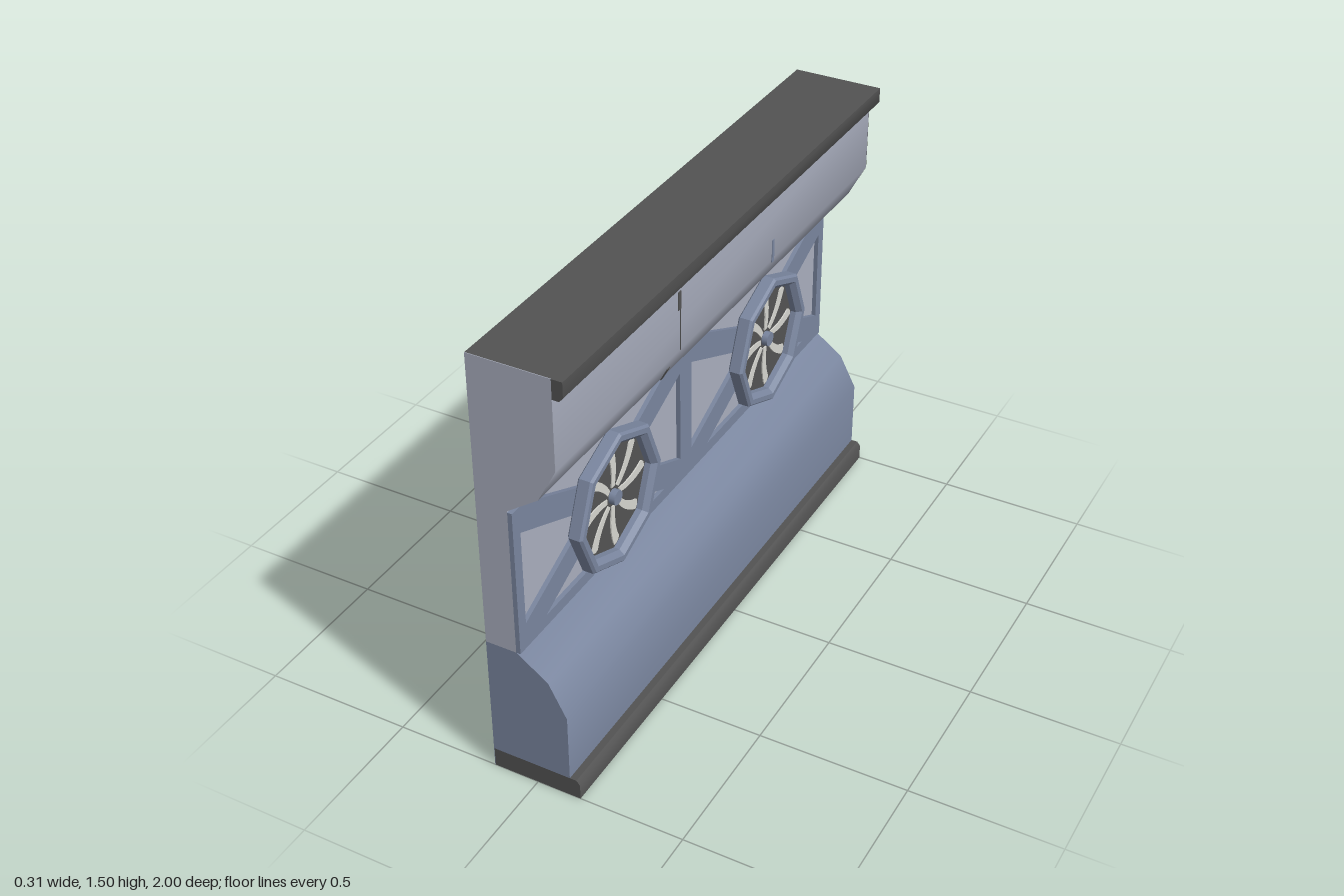
import * as THREE from 'three';
import { toCreasedNormals } from 'three/addons/utils/BufferGeometryUtils.js';

const mat = (name, color) => Object.assign(new THREE.MeshStandardMaterial({ color }), { name });

export function createModel() {
  const light = mat('pale grey panel', 0xa9aebe);
  const blue = mat('blue grey metal', 0x7a869f);
  const dark = mat('dark trim', 0x535353);
  const white = mat('blade white', 0xd6d6d0);

  const wall = new THREE.Group();
  wall.name = 'wallSegment';

  const add = (parent, name, geometry, material, x = 0, y = 0, z = 0) => {
    const mesh = new THREE.Mesh(geometry, material);
    mesh.name = name;
    mesh.position.set(x, y, z);
    parent.add(mesh);
    return mesh;
  };
  const path = (pts) => pts.map(([x, y]) => new THREE.Vector2(x, y));
  const extrude = (pts, depth, holes = []) => {
    const shape = new THREE.Shape(path(pts));
    shape.holes = holes.map((h) => new THREE.Path(path(h)));
    return new THREE.ExtrudeGeometry(shape, { depth, bevelEnabled: false });
  };
  // Cross-section run along z, soft over the curved face only
  const run = (name, pts, material, z0 = -1, z1 = 1) =>
    add(wall, name, toCreasedNormals(extrude(pts, z1 - z0), 0.7), material, 0, 0, z0);

  const back = -0.155, E = 0.002;

  // Upper body with the recessed core behind the fans
  const upperCurve = [[-0.05, 0.495], [-0.05, 1.01], [0.055, 1.085], [0.115, 1.2]];
  const upper = (top) => [[back, 0.495], ...upperCurve, [0.115, top], [back, top]];
  run('upperBody', upper(1.435), light, -1 + E, 1 - E);
  run('upperEndPale', upper(1.5), light, 1 - E, 1);
  run('upperEndDark', upper(1.5), dark, -1, -1 + E);

  // Lower body
  run('lowerBody', [[back, 0.065], [0.115, 0.065], [0.115, 0.305], [0.055, 0.42],
    [-0.05, 0.495], [back, 0.495]], blue);

  // Top cap and base rail, chamfered along the front lip
  run('topCap', [[back, 1.435], [0.138, 1.435], [0.15, 1.45], [0.15, 1.5], [back, 1.5]],
    dark, -1 + E, 1 - E);
  for (const s of [-1, 1]) {
    run('topCapLipEnd', [[0.115, 1.435], [0.138, 1.435], [0.15, 1.45], [0.15, 1.5], [0.115, 1.5]],
      dark, s > 0 ? 1 - E : -1, s > 0 ? 1 : -1 + E);
  }
  run('baseRail', [[back + E, 0], [0.15, 0], [0.15, 0.053], [0.138, 0.068], [back + E, 0.068]], dark);
  run('baseBackPlate', [[back, 0], [back + E, 0], [back + E, 0.068], [back, 0.068]], blue);

  // Cross-braced frame: four triangular openings around each fan
  const holes = [];
  for (const c of [-0.5, 0.5]) {
    for (const s of [-1, 1]) {
      holes.push([[c + s * 0.463, 0.585], [c + s * 0.463, 0.915], [c + s * 0.09, 0.75]]);
      holes.push([[c - 0.355, 0.75 + s * 0.215], [c + 0.355, 0.75 + s * 0.215], [c, 0.75 + s * 0.05]]);
    }
  }
  const frame = extrude([[-1, 0.495], [1, 0.495], [1, 1.005], [-1, 1.005]], 0.015, holes);
  add(wall, 'bracedFrame', frame.rotateY(Math.PI / 2), blue, -0.05);

  // Fans: octagonal housing, dark disc, eight curved blades and a hub
  const ringGeo = toCreasedNormals(new THREE.LatheGeometry(path([
    [0.197, -0.025], [0.23, -0.025], [0.24, -0.018], [0.24, 0.019], [0.232, 0.027],
    [0.213, 0.027], [0.197, 0.01], [0.197, -0.025],
  ]), 8), 0.3).rotateX(Math.PI / 2);
  const disc = (r, h, n) => new THREE.CylinderGeometry(r, r, h, n).rotateX(Math.PI / 2);

  const bladeShape = new THREE.Shape();
  bladeShape.moveTo(-0.009, 0.035);
  bladeShape.quadraticCurveTo(0.002, 0.11, -0.026, 0.165);
  bladeShape.quadraticCurveTo(-0.02, 0.187, 0.004, 0.183);
  bladeShape.quadraticCurveTo(0.03, 0.11, 0.009, 0.035);
  const bladeGeo = new THREE.ExtrudeGeometry(bladeShape, { depth: 0.004, bevelEnabled: false, curveSegments: 6 });

  for (const z of [-0.505, 0.505]) {
    const fan = new THREE.Group();
    fan.name = 'fan';
    fan.position.set(0, 0.753, z);
    fan.rotation.y = Math.PI / 2;
    add(fan, 'fanHousing', ringGeo, blue);
    add(fan, 'fanDisc', disc(0.2, 0.012, 8), dark, 0, 0, -0.016);
    add(fan, 'fanMount', disc(0.04, 0.03, 8), blue, 0, 0, -0.035);
    add(fan, 'fanHub', disc(0.025, 0.022, 10), blue, 0, 0, 0);
    for (let i = 0; i < 8; i++) {
      add(fan, 'fanBlade', bladeGeo, white, 0, 0, -0.01).rotation.z = (i * Math.PI) / 4;
    }
    wall.add(fan);
  }

  // Small marks on the upper panel
  add(wall, 'panelSeam', new THREE.BoxGeometry(0.003, 0.2, 0.004), dark, 0.115, 1.3, 0.305);
  add(wall, 'panelNotchTop', new THREE.BoxGeometry(0.004, 0.06, 0.018), dark, 0.115, 1.37, 0.31);
  add(wall, 'panelNotchLow', new THREE.BoxGeometry(0.004, 0.05, 0.018), dark, 0.065, 1.104, 0.31)
    .rotation.z = -0.48;
  add(wall, 'panelFleck', new THREE.BoxGeometry(0.004, 0.08, 0.014), blue, 0.115, 1.23, -0.295);

  return wall;
}
